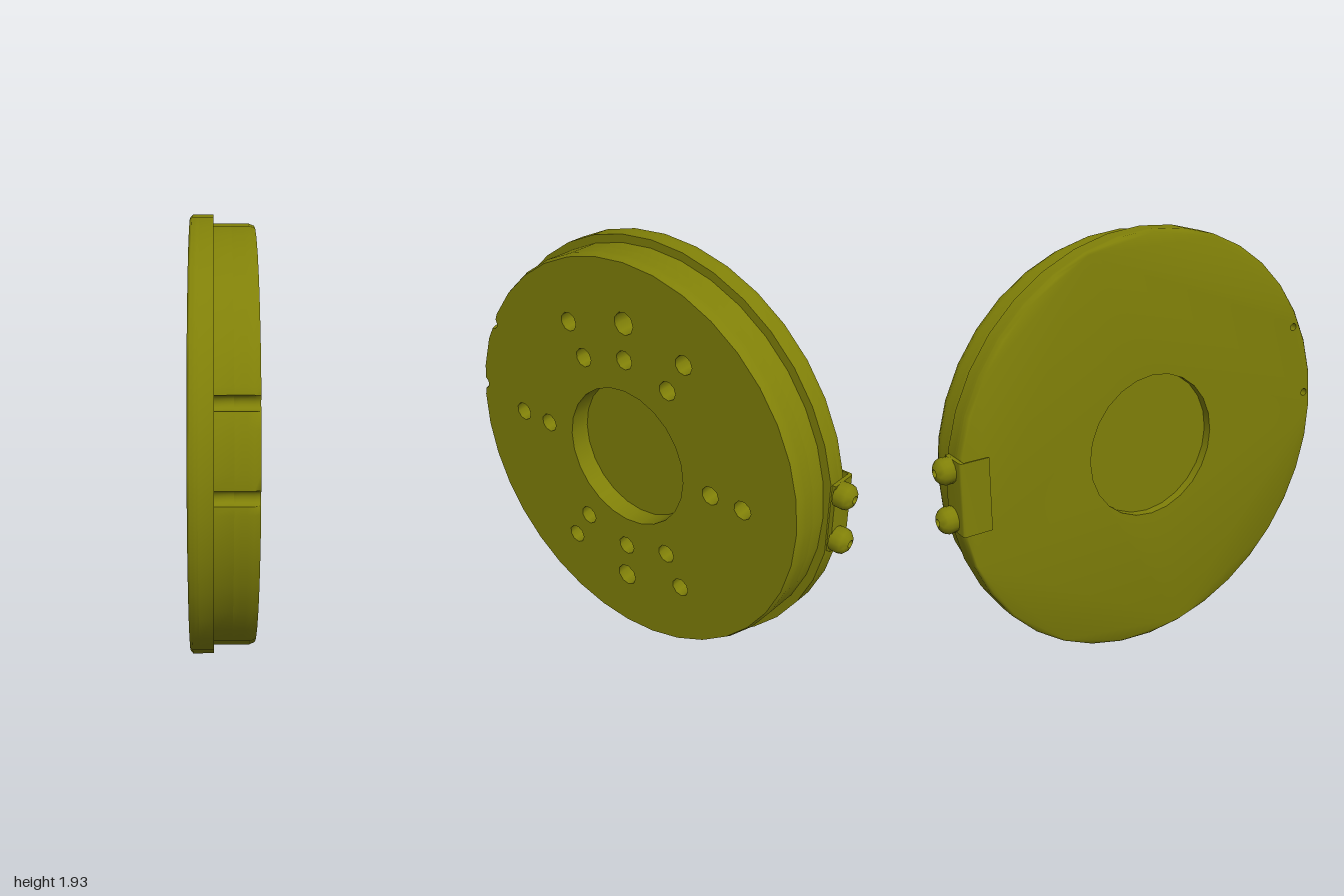
import * as THREE from 'three';
import { toCreasedNormals } from 'three/addons/utils/BufferGeometryUtils.js';

const CY = 0.97, CZ = 0.037;              // axis of the disc (runs along x)
const FLANGE_R = 0.963, BODY_R = 0.926, BORE_R = 0.33;
const PIN_R = 0.92, NOTCH_R = 0.03;
const deg = Math.PI / 180;
const PIN_ANGLES = [4 * deg, 26.2 * deg]; // measured from +z towards +y

// Shapes are drawn in (-z, y) so that the extrusion runs along +x
const at = (r, a) => new THREE.Vector2(-r * Math.cos(a), r * Math.sin(a));

function circleHole(c, r, sides) {
  const pts = [];
  for (let i = 0; i < sides; i++) {
    const a = (i / sides) * Math.PI * 2;
    pts.push(new THREE.Vector2(c.x + r * Math.cos(a), c.y + r * Math.sin(a)));
  }
  return new THREE.Path(pts);
}

// Flange outline: 36 sides, one corner left out to make the flat for the bracket
function flangeShape() {
  const pts = [];
  for (let i = 0; i < 36; i++) if (i !== 18) pts.push(at(FLANGE_R, i * 10 * deg));
  const s = new THREE.Shape(pts);
  PIN_ANGLES.forEach(a => s.holes.push(circleHole(at(PIN_R, a), 0.018, 10)));
  return s;
}

// Body outline: 36 sides with two round notches in the rim
function bodyShape() {
  const pts = [];
  for (let i = 0; i < 36; i++) {
    const a = i * 10 * deg;
    pts.push(at(BODY_R, a));
    PIN_ANGLES.filter(p => p > a && p < a + 10 * deg).forEach(p => {
      const c = at(PIN_R, p);
      for (let k = 0; k <= 8; k++) {
        pts.push(at(NOTCH_R, p - Math.PI / 2 - (k / 8) * Math.PI).add(c));
      }
    });
  }
  return new THREE.Shape(pts);
}

// Extrudes a shape from x0 to x1; chamfer pulls in the rim at one end (-1 back, 1 front)
function slab(shape, x0, x1, chamferEnd = 0, rim = 0) {
  const depth = x1 - x0, steps = chamferEnd ? 4 : 1;
  const g = new THREE.ExtrudeGeometry(shape, { depth, steps, bevelEnabled: false });
  const p = g.attributes.position;
  for (let i = 0; chamferEnd && i < p.count; i++) {
    const end = chamferEnd < 0 ? 0 : depth;
    const r = Math.hypot(p.getX(i), p.getY(i));
    if (Math.abs(p.getZ(i) - end) < 1e-5 && r > rim) {
      const k = (r - 0.01) / r;
      p.setXY(i, p.getX(i) * k, p.getY(i) * k);
    }
  }
  g.rotateY(Math.PI / 2);
  g.translate(x0, CY, CZ);
  return toCreasedNormals(g, 0.85);
}

export function createModel() {
  const model = new THREE.Group();
  const mat = new THREE.MeshStandardMaterial({ color: 0x808008 });
  const add = (name, geo, m = mat) => {
    const mesh = new THREE.Mesh(geo, m);
    mesh.name = name;
    model.add(mesh);
    return mesh;
  };
  const bore = () => circleHole(new THREE.Vector2(), BORE_R, 24);

  // Flange: bored back layer and closed front layer
  const flangeBack = flangeShape();
  flangeBack.holes.push(bore());
  add('flangeBack', slab(flangeBack, -0.12, -0.08, -1, 0.945));
  add('flangeFront', slab(flangeShape(), -0.08, -0.02));

  // Body: bolt holes and bore sunk into the front layer
  const front = bodyShape(), base = bodyShape();
  front.holes.push(bore());
  for (const a of [0, 60, 90, 120, 180, 240, 270, 300]) {
    const upright = a % 180 === 90;
    front.holes.push(circleHole(at(0.647, a * deg), upright ? 0.052 : 0.044, 9));
    front.holes.push(circleHole(at(0.478, a * deg), 0.044, 9));
    if (upright) base.holes.push(circleHole(at(0.478, a * deg), 0.044, 9));
  }
  add('bodyBase', slab(base, -0.02, 0.055));
  add('bodyFront', slab(front, 0.055, 0.155, 1, 0.91));

  // Drill points at the bottom of the two deep holes
  const inside = mat.clone();
  inside.side = THREE.BackSide;
  for (const s of [-1, 1]) {
    const cone = new THREE.ConeGeometry(0.045, 0.065, 9, 1, true);
    cone.rotateZ(Math.PI / 2);             // tip points to -x
    add('drillPoint', cone, inside).position.set(0.022, CY + s * 0.478, CZ);
  }

  // Bent bracket on the back, drawn in (x, -z) and extruded upwards
  const section = new THREE.Shape();
  section.moveTo(-0.158, 0.80);
  section.lineTo(-0.158, 0.915);
  section.quadraticCurveTo(-0.158, 0.93, -0.143, 0.93);
  section.lineTo(-0.03, 0.93);
  section.lineTo(-0.03, 0.912);
  section.lineTo(-0.14, 0.912);
  section.quadraticCurveTo(-0.15, 0.912, -0.15, 0.905);
  section.lineTo(-0.15, 0.80);
  const bracket = new THREE.ExtrudeGeometry(section, { depth: 0.32, bevelEnabled: false, curveSegments: 4 });
  bracket.rotateX(-Math.PI / 2);
  bracket.translate(0, 0.81, 0);
  add('bracket', toCreasedNormals(bracket, 0.7));

  // Two domed screws with a small socket
  const profile = [[0, 0], [0.055, 0], [0.057, 0.035], [0.052, 0.052], [0.038, 0.066],
    [0.017, 0.075], [0.012, 0.06], [0, 0.06]].map(([r, h]) => new THREE.Vector2(r, h));
  for (const y of [0.862, 1.078]) {
    const screw = new THREE.LatheGeometry(profile, 14);
    screw.rotateX(-Math.PI / 2);
    add('screw', toCreasedNormals(screw, 0.7)).position.set(-0.068, y, -0.925);
  }
  return model;
}
